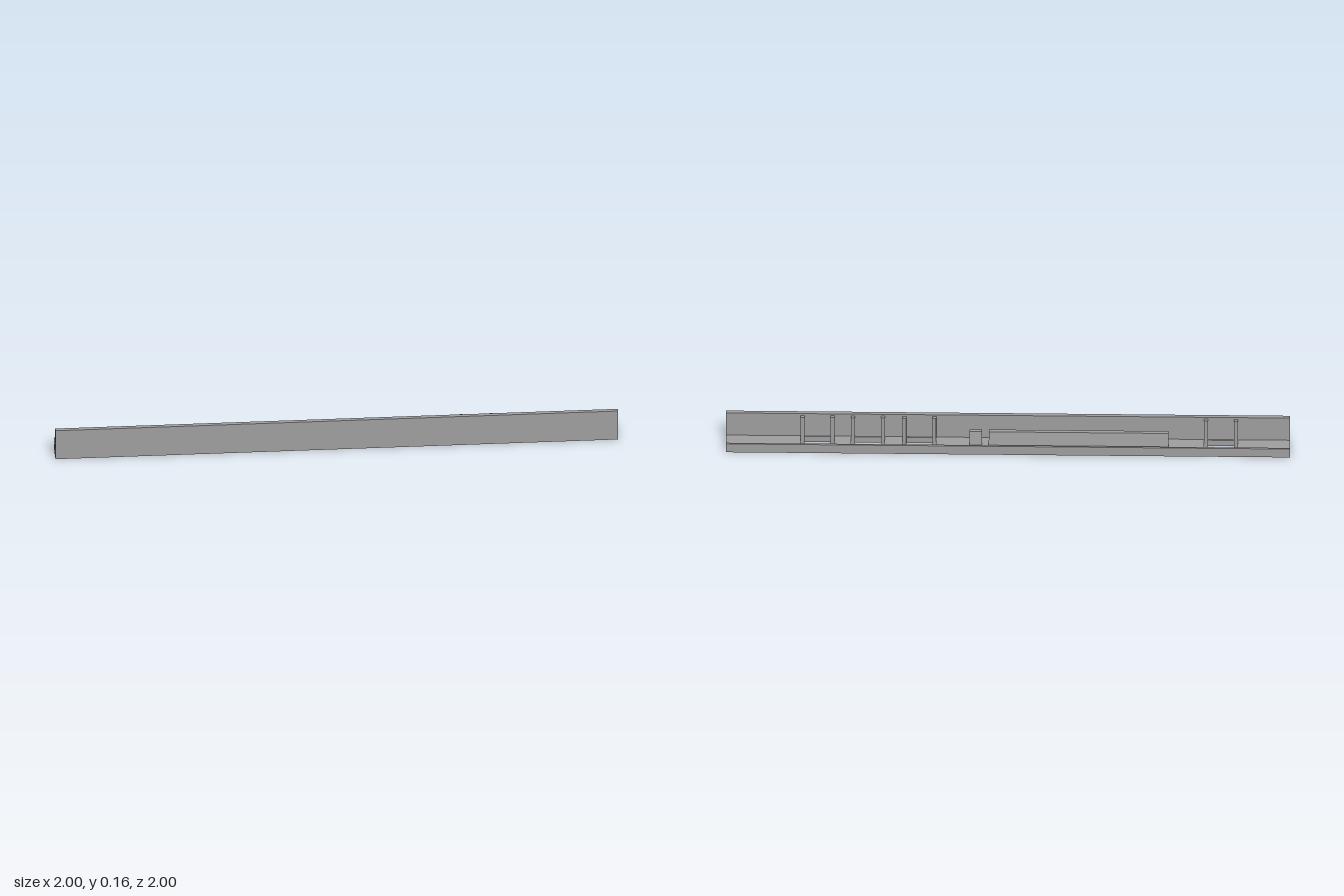
import * as THREE from 'three';

const LENGTH = 2.708, HALF = LENGTH / 2;
const FLOOR_TOP = 0.032, WALL_TOP = 0.16;

export function createModel() {
  const grey = new THREE.MeshStandardMaterial({ color: 0xa0a0a0 });
  grey.name = 'grey';

  const model = new THREE.Group();
  model.name = 'channelRail';
  // The rail is built along x, then turned onto the diagonal
  const rail = new THREE.Group();
  rail.name = 'rail';
  rail.rotation.y = Math.PI / 4;
  model.add(rail);

  function add(name, geometry) {
    const mesh = new THREE.Mesh(geometry, grey);
    mesh.name = name;
    rail.add(mesh);
    return mesh;
  }

  function box(name, x0, x1, y0, y1, z0, z1) {
    const mesh = add(name, new THREE.BoxGeometry(x1 - x0, y1 - y0, z1 - z0));
    mesh.position.set((x0 + x1) / 2, (y0 + y1) / 2, (z0 + z1) / 2);
  }

  function rectangle(path, x0, x1, y0, y1) {
    path.moveTo(x0, y0);
    path.lineTo(x1, y0);
    path.lineTo(x1, y1);
    path.lineTo(x0, y1);
    path.closePath();
    return path;
  }

  // Floor with four rectangular openings
  const openings = [-1.022, 0.426, 0.673, 0.915];
  const openingHalf = 0.081;
  const floor = rectangle(new THREE.Shape(), -HALF, HALF, -0.04, 0.05);
  for (const c of openings) {
    floor.holes.push(rectangle(new THREE.Path(), c - openingHalf, c + openingHalf, -0.034, 0.0495));
  }
  const floorGeometry = new THREE.ExtrudeGeometry(floor, { depth: FLOOR_TOP, bevelEnabled: false });
  floorGeometry.rotateX(-Math.PI / 2);
  add('floor', floorGeometry);

  // Tall front wall and low rear lip
  box('tallWall', -HALF, HALF, 0, WALL_TOP, 0.04, 0.06);
  box('rearLip', -HALF, HALF, 0, 0.048, -0.06, -0.05);

  // Upright ribs at both ends of every opening
  for (const c of openings) {
    for (const side of [-1, 1]) {
      const x = c + side * (openingHalf - 0.009);
      box('openingRib', x - 0.009, x + 0.009, 0, 0.15, 0.022, 0.04);
    }
  }

  // Tapered ridges standing on the floor: one long, one short
  function ridge(name, x0, x1) {
    const section = new THREE.Shape();
    section.moveTo(0.03, 0.03);
    section.lineTo(0.02, 0.105);
    section.lineTo(0, 0.105);
    section.lineTo(-0.013, 0.03);
    section.closePath();
    const geometry = new THREE.ExtrudeGeometry(section, { depth: x1 - x0, bevelEnabled: false });
    geometry.rotateY(Math.PI / 2);
    geometry.translate(x0, 0, 0);
    add(name, geometry);
  }
  ridge('longRidge', -0.77, 0.092);
  ridge('shortRidge', 0.125, 0.185);

  return model;
}
